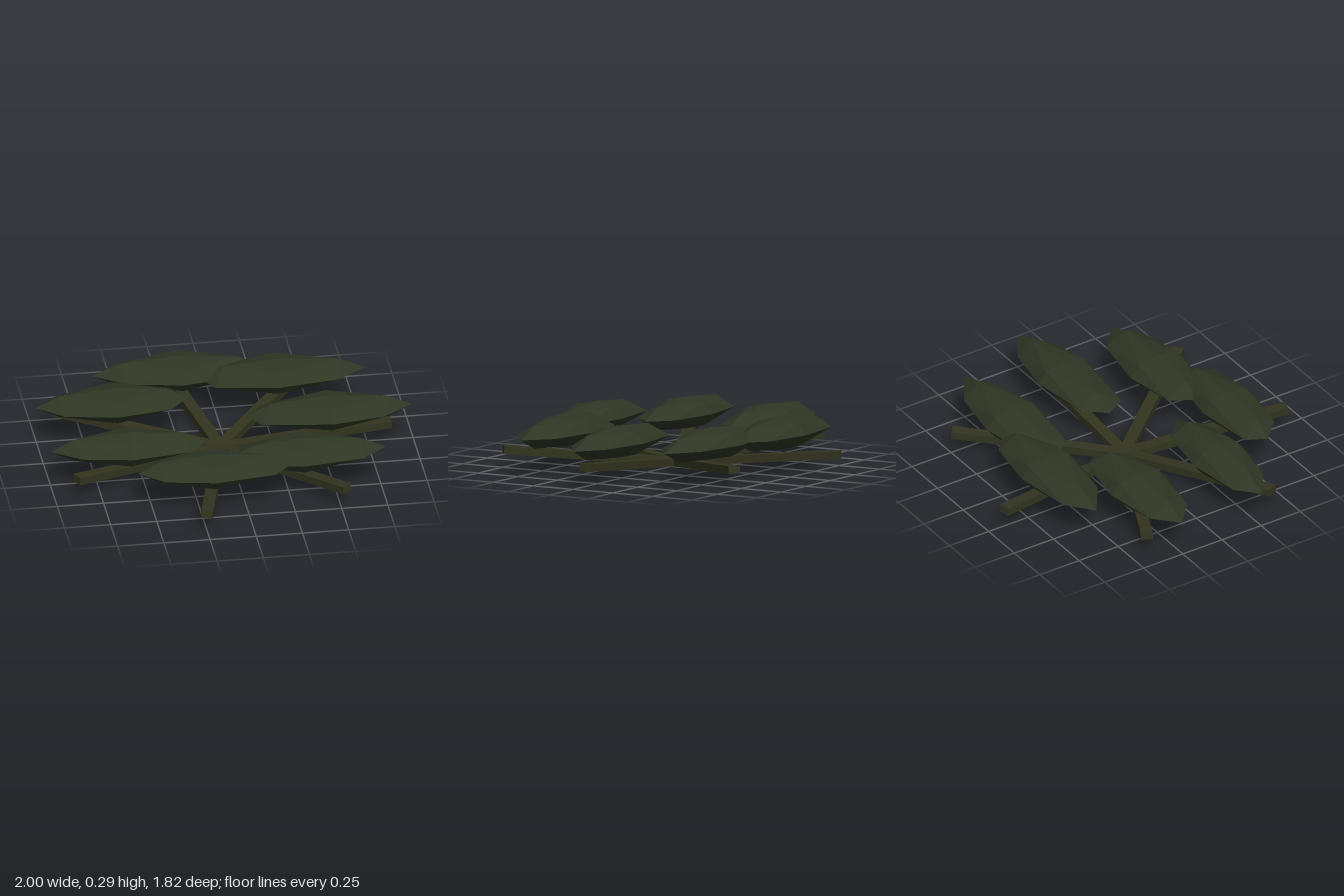
import * as THREE from 'three';

const HUB_X = -0.045, COUNT = 7, SPOKE = 0.93, RING = 0.59;

// Per leaf: reach to -x, +x, -z, +z, then how far along x the four
// diagonal corners sit (-x-z, +x-z, -x+z, +x+z) as a share of that reach.
const LEAVES = [
  [0.445, 0.45, 0.16, 0.17, 0.78, 0.62, 0.85, 0.62],
  [0.37, 0.46, 0.18, 0.165, 0.8, 0.7, 0.75, 0.7],
  [0.395, 0.44, 0.155, 0.17, 0.86, 0.7, 0.68, 0.75],
  [0.425, 0.42, 0.155, 0.16, 0.72, 0.72, 0.62, 0.76],
  [0.425, 0.4, 0.17, 0.175, 0.7, 0.8, 0.67, 0.72],
  [0.475, 0.43, 0.165, 0.18, 0.7, 0.7, 0.62, 0.7],
  [0.4, 0.49, 0.175, 0.17, 0.75, 0.62, 0.85, 0.66],
];

// Faceted leaf clump: a once-divided octahedron stretched unevenly
function leafGeometry([west, east, north, south, ...corners]) {
  const geo = new THREE.OctahedronGeometry(1, 1);
  const p = geo.attributes.position;
  for (let i = 0; i < p.count; i++) {
    let x = p.getX(i);
    const y = p.getY(i), z = p.getZ(i);
    if (Math.abs(x) > 0.1 && Math.abs(z) > 0.1) {
      x = Math.sign(x) * corners[(x > 0 ? 1 : 0) + (z > 0 ? 2 : 0)];
    }
    p.setXYZ(i, x * (x < 0 ? west : east), y * 0.087, z * (z < 0 ? north : south));
  }
  geo.computeVertexNormals();
  return geo;
}

export function createModel() {
  const model = new THREE.Group();
  model.name = 'palmCrown';
  const leafMat = new THREE.MeshStandardMaterial({ color: 0x2f3624, flatShading: true });
  leafMat.name = 'leafGreen';
  const stemMat = new THREE.MeshStandardMaterial({ color: 0x32341f, flatShading: true });
  stemMat.name = 'stemOlive';

  // Square stem starting at the hub and rising gently outwards
  const stemGeo = new THREE.BoxGeometry(SPOKE, 0.042, 0.065);
  stemGeo.translate(SPOKE / 2, 0, 0);
  stemGeo.rotateZ(0.088);

  for (let i = 0; i < COUNT; i++) {
    const a = (i / COUNT) * Math.PI * 2;

    const stem = new THREE.Mesh(stemGeo, stemMat);
    stem.name = `stem${i + 1}`;
    stem.position.set(HUB_X, 0.022, 0);
    stem.rotation.y = -a;
    model.add(stem);

    // Every clump keeps its long axis along x
    const leaf = new THREE.Mesh(leafGeometry(LEAVES[i]), leafMat);
    leaf.name = `leafClump${i + 1}`;
    leaf.position.set(HUB_X + RING * Math.cos(a), 0.203, RING * Math.sin(a));
    model.add(leaf);
  }
  return model;
}
